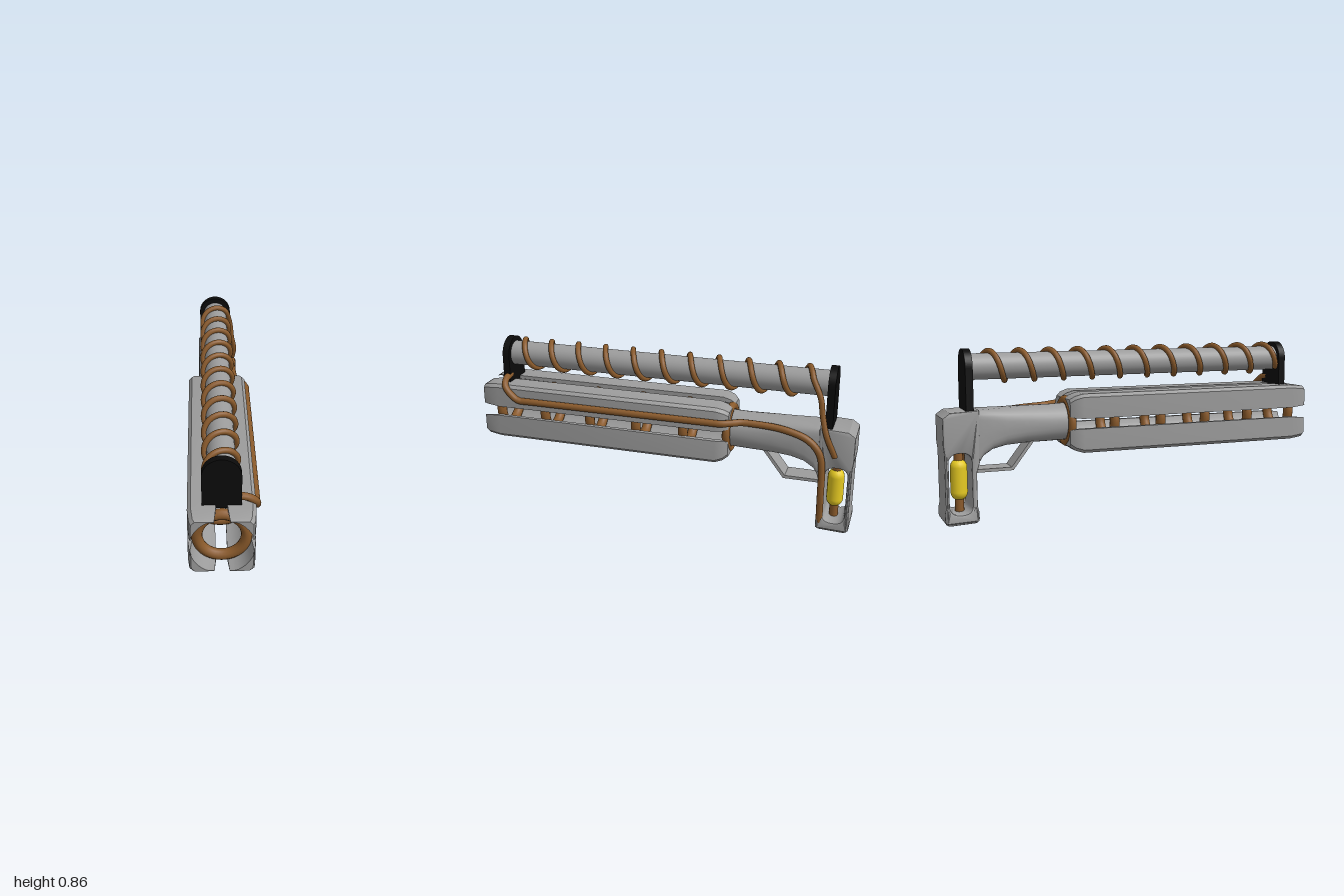
import * as THREE from 'three';
import { toCreasedNormals } from 'three/addons/utils/BufferGeometryUtils.js';

const CX = -0.013; // centre line of the body
const CY = 0.48;   // height of the bore

const material = (name, color) => {
  const m = new THREE.MeshStandardMaterial({ color });
  m.name = name;
  return m;
};

// Skin a list of equal-length contours (counter-clockwise from the front), ordered front to back.
function loft(sections, crease = 0.6) {
  const n = sections[0].pts.length;
  const pos = [];
  const index = [];
  for (const s of sections) for (const p of s.pts) pos.push(p.x, p.y, s.z);
  for (let i = 0; i < sections.length - 1; i++) {
    for (let j = 0; j < n; j++) {
      const a = i * n + j, b = i * n + (j + 1) % n;
      index.push(a, a + n, b, b, a + n, b + n);
    }
  }
  const last = (sections.length - 1) * n;
  for (const [a, b, c] of THREE.ShapeUtils.triangulateShape(sections[0].pts, [])) index.push(a, b, c);
  for (const [a, b, c] of THREE.ShapeUtils.triangulateShape(sections[sections.length - 1].pts, []))
    index.push(last + a, last + c, last + b);
  const g = new THREE.BufferGeometry();
  g.setAttribute('position', new THREE.Float32BufferAttribute(pos, 3));
  g.setIndex(index);
  return toCreasedNormals(g, crease);
}

// One quarter of the square barrel housing, hollowed by the round bore.
function railContour(sx, sy, inset, bore, gap) {
  const w = 0.152 - inset, h = 0.15 - inset, c = 0.016;
  const pts = [[w, gap], [w, h - c], [w - c, h], [gap, h]];
  const start = Math.acos(gap / bore), end = Math.asin(gap / bore);
  for (let i = 0; i <= 8; i++) {
    const t = start + (end - start) * i / 8;
    pts.push([Math.cos(t) * bore, Math.min(Math.sin(t) * bore, h - 0.003)]);
  }
  const out = pts.map(([x, y]) => new THREE.Vector2(CX + sx * x, CY + sy * y));
  return sx * sy < 0 ? out.reverse() : out;
}

function roundedContour(y0, y1, halfWidth, power) {
  const pts = [];
  for (let i = 0; i < 32; i++) {
    const t = i / 32 * Math.PI * 2, c = Math.cos(t), s = Math.sin(t);
    const f = (v) => Math.sign(v) * Math.pow(Math.abs(v), 2 / power);
    pts.push(new THREE.Vector2(CX + halfWidth * f(c), (y0 + y1) / 2 + (y1 - y0) / 2 * f(s)));
  }
  return pts;
}

const tube = (points, radius, segments, tension = 0.5) => new THREE.TubeGeometry(
  new THREE.CatmullRomCurve3(points, false, 'catmullrom', tension), segments, radius, 10);

export function createModel() {
  const group = new THREE.Group();
  const grey = material('grey metal', 0x9c9c9c);
  const copper = material('copper', 0x8a5a2b);
  const black = material('black', 0x0b0b0b);
  const yellow = material('yellow', 0xe6ca22);
  const add = (name, geometry, mat, x = 0, y = 0, z = 0) => {
    const m = new THREE.Mesh(geometry, mat);
    m.name = name;
    m.position.set(x, y, z);
    group.add(m);
    return m;
  };

  // Four barrel rails, flared at the muzzle and tapered at the back
  for (const sx of [-1, 1]) for (const sy of [-1, 1]) {
    const rail = [
      [1.0, 0.016, 0.145, 0.036], [0.985, 0.008, 0.145, 0.033], [0.91, 0, 0.134, 0.026],
      [-0.3, 0, 0.128, 0.026], [-0.34, 0.012, 0.122, 0.028], [-0.365, 0.03, 0.112, 0.034],
    ].map(([z, inset, bore, gap]) => ({ z, pts: railContour(sx, sy, inset, bore, gap) }));
    add('barrelRail', loft(rail), grey);
  }

  // Copper rings along the bore
  for (const z of [0.91, 0.652, 0.394, 0.136, -0.122, -0.35])
    add('barrelRing', new THREE.TorusGeometry(0.111, z < -0.3 ? 0.021 : 0.026, 12, 40), copper, CX, CY, z);

  // Stock: round at the barrel, squarer toward the grip
  const stock = [
    [-0.33, 0.385, 0.575, 0.096, 2], [-0.45, 0.383, 0.57, 0.097, 2.2], [-0.58, 0.383, 0.57, 0.098, 2.6],
    [-0.68, 0.378, 0.568, 0.098, 3.2], [-0.75, 0.365, 0.566, 0.097, 4.5], [-0.8, 0.335, 0.565, 0.095, 6],
    [-0.835, 0.28, 0.565, 0.092, 8], [-0.85, 0.28, 0.562, 0.09, 8],
  ].map(([z, y0, y1, w, p]) => ({ z, pts: roundedContour(y0, y1, w, p) }));
  add('stock', loft(stock, 0.7), grey);

  // Grip: side profile with a tall opening, wider at the foot
  const profile = new THREE.Shape();
  profile.moveTo(0.85, 0.005);
  profile.lineTo(0.975, 0);
  profile.quadraticCurveTo(1, 0.005, 1, 0.035);
  profile.lineTo(1, 0.06);
  profile.lineTo(0.995, 0.09);
  profile.lineTo(0.995, 0.36);
  profile.lineTo(1, 0.4);
  profile.lineTo(1, 0.535);
  profile.lineTo(0.965, 0.56);
  profile.lineTo(0.82, 0.567);
  profile.lineTo(0.82, 0.31);
  profile.lineTo(0.836, 0.26);
  profile.lineTo(0.836, 0.09);
  profile.lineTo(0.83, 0.06);
  profile.lineTo(0.83, 0.03);
  profile.quadraticCurveTo(0.83, 0.008, 0.85, 0.005);
  const hole = new THREE.Path();
  hole.moveTo(0.862, 0.1);
  hole.quadraticCurveTo(0.862, 0.055, 0.918, 0.055);
  hole.quadraticCurveTo(0.974, 0.055, 0.974, 0.1);
  hole.lineTo(0.974, 0.315);
  hole.quadraticCurveTo(0.974, 0.36, 0.918, 0.36);
  hole.quadraticCurveTo(0.862, 0.36, 0.862, 0.315);
  hole.closePath();
  profile.holes.push(hole);
  const bevel = 0.009;
  const grip = new THREE.ExtrudeGeometry(profile, {
    depth: 0.186 - 2 * bevel, bevelSize: bevel, bevelOffset: -bevel, bevelThickness: bevel,
    bevelSegments: 2, curveSegments: 6,
  });
  grip.translate(0, 0, bevel - 0.093).rotateY(Math.PI / 2);
  const p = grip.attributes.position;
  for (let i = 0; i < p.count; i++) {
    const y = p.getY(i);
    const foot = y < 0.075 && y > 0.015 ? 1.1 : y <= 0.015 ? 1.0 : y > 0.34 ? 1.06 : 1;
    p.setX(i, p.getX(i) * foot);
  }
  grip.deleteAttribute('normal');
  add('grip', toCreasedNormals(grip, 0.5), grey, CX);

  // Cell and rod inside the grip opening
  add('cellRod', new THREE.CylinderGeometry(0.023, 0.023, 0.33, 14), copper, CX, 0.21, -0.91);
  add('energyCell', new THREE.CapsuleGeometry(0.043, 0.124, 6, 16), yellow, CX, 0.215, -0.91);

  // Trigger guard: bent flat strip
  const strip = new THREE.Shape([
    [0.535, 0.395], [0.645, 0.252], [0.84, 0.252], [0.84, 0.268], [0.653, 0.268], [0.555, 0.395],
  ].map(([u, y]) => new THREE.Vector2(u, y)));
  const guard = new THREE.ExtrudeGeometry(strip, { depth: 0.11, bevelEnabled: false });
  guard.translate(0, 0, -0.055).rotateY(Math.PI / 2);
  add('triggerGuard', guard, grey, CX);

  // Upper tube held between two round-topped plates
  const upper = new THREE.CylinderGeometry(0.065, 0.065, 1.73, 32).rotateX(Math.PI / 2);
  add('upperTube', upper, grey, CX, 0.773, 0.007);
  for (const [name, z, bottom] of [['frontPlate', 0.86, 0.615], ['rearPlate', -0.882, 0.545]]) {
    const s = new THREE.Shape();
    s.moveTo(-0.088, bottom);
    s.lineTo(0.088, bottom);
    s.lineTo(0.088, 0.775);
    s.absarc(0, 0.775, 0.088, 0, Math.PI, false);
    s.closePath();
    add(name, new THREE.ExtrudeGeometry(s, { depth: 0.037, bevelEnabled: false, curveSegments: 24 }), black, CX, 0, z);
  }

  // Copper coil around the upper tube, its tail running down to the grip
  const coil = [];
  const steps = 16;
  for (let i = -6; i <= 10.2 * steps; i++) {
    const t = i / steps;
    coil.push(new THREE.Vector3(
      CX + 0.074 * Math.sin(t * Math.PI * 2), 0.775 + 0.074 * Math.cos(t * Math.PI * 2), 0.8 - 0.1545 * t));
  }
  for (const v of [[0.075, 0.72, -0.815], [0.085, 0.63, -0.832], [0.1, 0.53, -0.86], [0.082, 0.42, -0.905]])
    coil.push(new THREE.Vector3(...v));
  add('coil', tube(coil, 0.0145, 420), copper);

  // Power cable from the front plate along the side and down into the grip
  const cable = [
    [0.04, 0.665, 0.875], [0.1, 0.655, 0.872], [0.138, 0.625, 0.86], [0.147, 0.585, 0.825], [0.147, 0.556, 0.78],
    [0.147, 0.555, 0.7], [0.147, 0.555, 0.2], [0.147, 0.555, -0.25], [0.145, 0.555, -0.33], [0.12, 0.555, -0.385],
    [0.09, 0.553, -0.44], [0.082, 0.545, -0.58], [0.086, 0.53, -0.68], [0.09, 0.5, -0.765], [0.093, 0.44, -0.825],
    [0.095, 0.36, -0.845], [0.096, 0.22, -0.848], [0.082, 0.12, -0.848], [0.072, 0.05, -0.848],
  ].map((v) => new THREE.Vector3(...v));
  add('powerCable', tube(cable, 0.018, 160), copper);

  return group;
}
